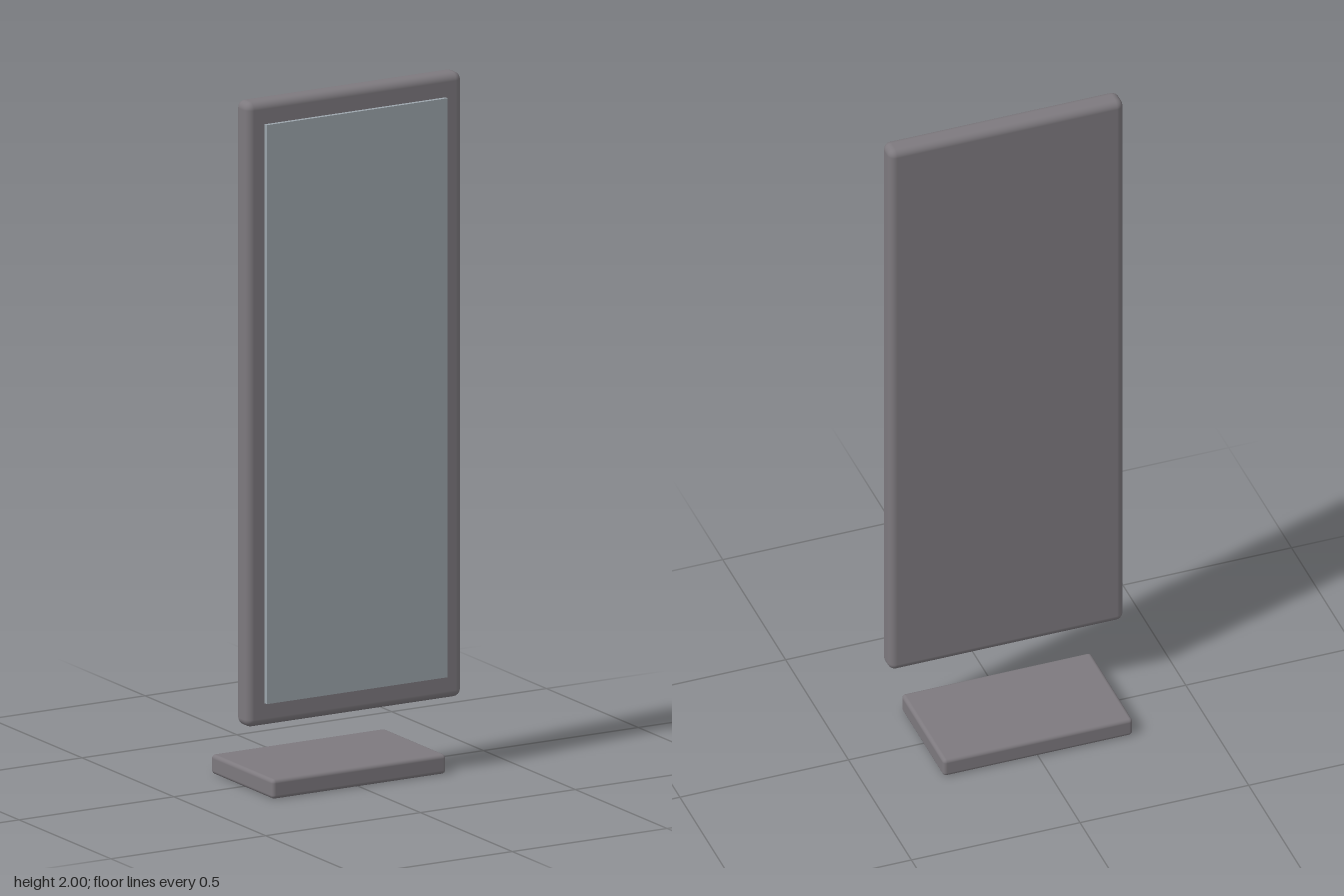
import * as THREE from 'three';
import { RoundedBoxGeometry } from 'three/addons/geometries/RoundedBoxGeometry.js';

export function createModel() {
  const model = new THREE.Group();
  model.name = 'standingDisplay';

  const casing = new THREE.MeshStandardMaterial({ color: 0x7d797e });
  casing.name = 'warm grey casing';
  const glass = new THREE.MeshStandardMaterial({ color: 0x9ba4ab });
  glass.name = 'pale blue-grey screen';

  // Place a geometry by its centre
  const add = (name, geometry, material, y, z) => {
    const mesh = new THREE.Mesh(geometry, material);
    mesh.name = name;
    mesh.position.set(0, y, z);
    model.add(mesh);
  };

  // Foot plate, separate from the upright panel
  add('base', new RoundedBoxGeometry(0.562, 0.056, 0.338, 4, 0.011), casing, 0.028, 0);

  // Tall rounded casing near the front of the foot plate
  add('frame', new RoundedBoxGeometry(0.696, 1.793, 0.066, 4, 0.022), casing, 1.1035, 0.111);

  // Screen standing slightly proud of the casing
  add('screen', new THREE.BoxGeometry(0.584, 1.662, 0.026), glass, 1.104, 0.143);

  return model;
}
